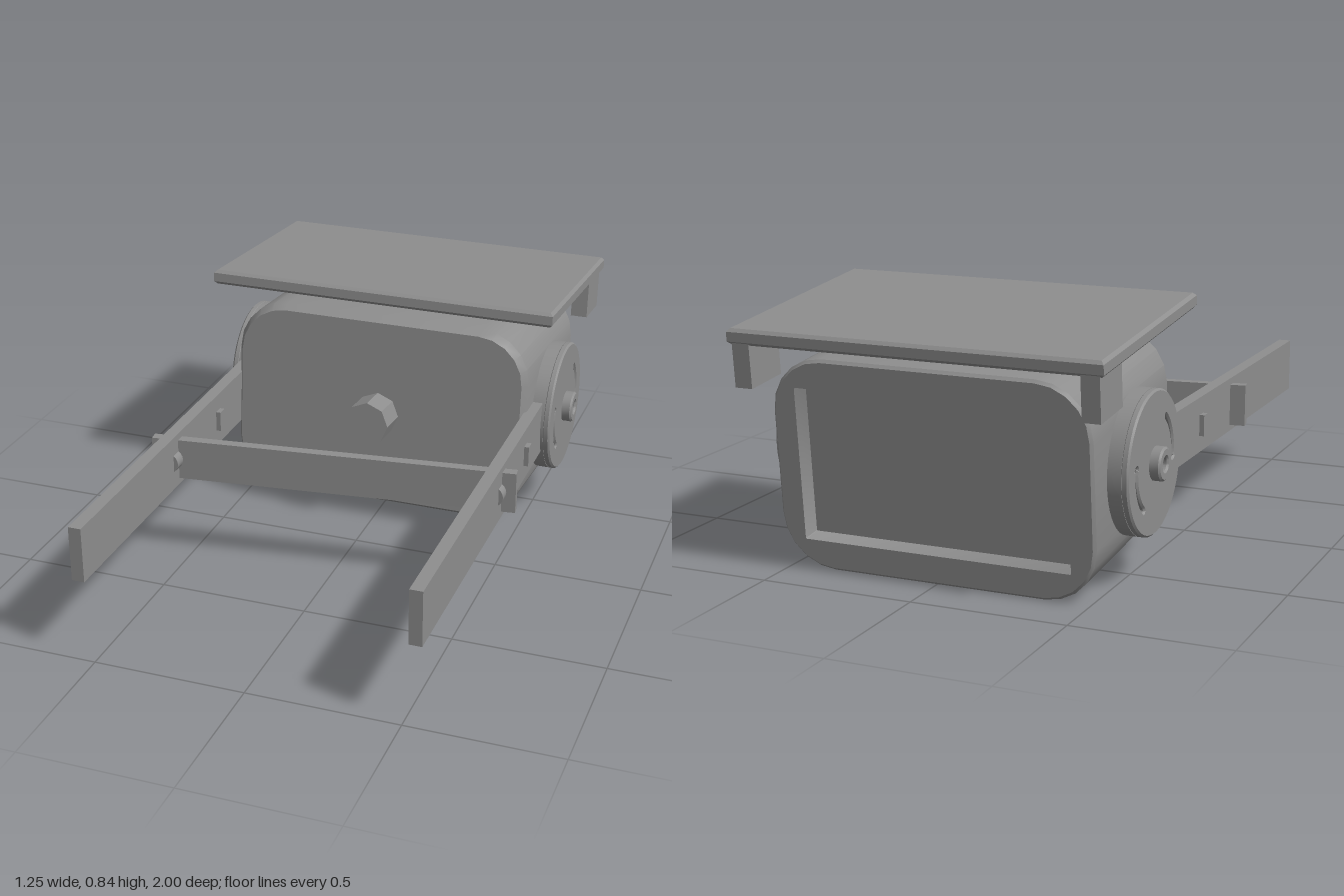
import * as THREE from 'three';
import { toCreasedNormals } from 'three/addons/utils/BufferGeometryUtils.js';

const SEG = 5; // segments per rounded corner

// Rounded rectangle outline, counter-clockwise seen from +z
function ring(w, h, r, z) {
  const pts = [];
  [[1, 1], [-1, 1], [-1, -1], [1, -1]].forEach(([sx, sy], q) => {
    for (let i = 0; i <= SEG; i++) {
      const a = (q + i / SEG) * Math.PI / 2;
      pts.push([sx * (w - r) + r * Math.cos(a), sy * (h - r) + r * Math.sin(a), z]);
    }
  });
  return pts;
}

// Skin between successive rings, front to back
function loft(rings) {
  const pos = [];
  for (let i = 0; i + 1 < rings.length; i++) {
    const a = rings[i], b = rings[i + 1], n = a.length;
    for (let k = 0; k < n; k++) {
      const m = (k + 1) % n;
      pos.push(...a[k], ...b[k], ...a[m], ...a[m], ...b[k], ...b[m]);
    }
  }
  const g = new THREE.BufferGeometry();
  g.setAttribute('position', new THREE.Float32BufferAttribute(pos, 3));
  return toCreasedNormals(g, 0.6);
}

// Curved slot with a round bulb at its lower end
function slot(turn) {
  const R = 0.155, w = 0.012, a0 = -0.15 + turn, a1 = 0.85 + turn;
  const p = new THREE.Path();
  p.absarc(0, 0, R + w, a0, a1, false);
  p.absarc(R * Math.cos(a1), R * Math.sin(a1), w, a1, a1 + Math.PI, false);
  p.absarc(0, 0, R - w, a1, a0, true);
  p.absarc(R * Math.cos(a0), R * Math.sin(a0), 0.019, a0 + Math.PI, a0 + 2 * Math.PI, false);
  return p;
}

export function createModel() {
  const model = new THREE.Group();
  const grey = new THREE.MeshStandardMaterial({ color: 0x8e8e8e });
  grey.name = 'grey';

  function add(parent, name, geo, x = 0, y = 0, z = 0) {
    const m = new THREE.Mesh(geo, grey);
    m.name = name;
    m.position.set(x, y, z);
    parent.add(m);
    return m;
  }
  const box = (w, h, d) => new THREE.BoxGeometry(w, h, d);

  // Tilted head: everything that turns on the side pivots
  const head = new THREE.Group();
  head.name = 'tiltingHead';
  head.position.set(0, 0.375, -0.54);
  head.rotation.x = -0.092;
  model.add(head);

  // Housing with bevelled front and a rectangular recess in the back
  add(head, 'housing', loft([
    ring(0, 0, 0, 0.325),
    ring(0.508, 0.322, 0.16, 0.325),
    ring(0.525, 0.34, 0.175, 0.295),
    ring(0.525, 0.34, 0.175, -0.315),
    ring(0.516, 0.331, 0.166, -0.325),
    ring(0.445, 0.245, 0.004, -0.325),
    ring(0.44, 0.24, 0.004, -0.265),
    ring(0, 0, 0, -0.265),
  ]), 0, -0.005, 0);

  // Eight-sided knob on the front
  const knob = new THREE.CylinderGeometry(0.077, 0.077, 0.13, 8).toNonIndexed();
  knob.rotateX(Math.PI / 2);
  knob.computeVertexNormals();
  add(head, 'frontKnob', knob, 0, -0.012, 0.375);

  // Cover plate with small bevels
  const b = 0.01, hw = 0.605 - b, hd = 0.3885 - b;
  const plate = new THREE.Shape([
    new THREE.Vector2(-hw, -hd), new THREE.Vector2(hw, -hd),
    new THREE.Vector2(hw, hd), new THREE.Vector2(-hw, hd),
  ]);
  const plateGeo = new THREE.ExtrudeGeometry(plate, {
    depth: 0.03, bevelThickness: b, bevelSize: b, bevelSegments: 1,
  });
  plateGeo.rotateX(-Math.PI / 2);
  add(head, 'coverPlate', plateGeo, 0, 0.399, -0.0315);

  // Slotted disc
  const disc = new THREE.Shape();
  disc.absarc(0, 0, 0.219, 0, Math.PI * 2, false);
  disc.holes.push(slot(0), slot(Math.PI));
  const discGeo = toCreasedNormals(new THREE.ExtrudeGeometry(disc, {
    depth: 0.014, bevelThickness: 0.006, bevelSize: 0.006, bevelSegments: 1, curveSegments: 24,
  }), 0.5);

  // Hub with a bore
  const hub = new THREE.Shape();
  hub.absarc(0, 0, 0.047, 0, Math.PI * 2, false);
  const bore = new THREE.Path();
  bore.absarc(0, 0, 0.028, 0, Math.PI * 2, true);
  hub.holes.push(bore);
  const hubGeo = toCreasedNormals(new THREE.ExtrudeGeometry(hub, {
    depth: 0.03, bevelThickness: 0.006, bevelSize: 0.006, bevelSegments: 1, curveSegments: 12,
  }), 0.5);

  const backGeo = new THREE.CylinderGeometry(0.225, 0.225, 0.045, 48);
  backGeo.rotateX(Math.PI / 2);

  for (const s of [1, -1]) {
    const side = s > 0 ? 'left' : 'right';

    // Pivot assembly, facing outward
    const pivot = new THREE.Group();
    pivot.name = side + 'Pivot';
    pivot.rotation.y = s * Math.PI / 2;
    head.add(pivot);
    add(pivot, 'pivotBacking', backGeo, 0, 0, 0.5465);
    add(pivot, 'slottedDisc', discGeo, 0, 0, 0.571);
    add(pivot, 'pivotHub', hubGeo, 0, 0, 0.589);

    // Bracket under the cover plate
    add(head, side + 'CoverBracket', box(0.058, 0.14, 0.165), s * 0.562, 0.325, -0.333);

    // Long carrying arm with its cross peg
    add(model, side + 'Arm', box(0.042, 0.183, 1.5), s * 0.538, 0.376, 0.25);
    add(model, side + 'Peg', box(0.074, 0.07, 0.035), s * 0.538, 0.375, s > 0 ? -0.118 : -0.022);

    // Bolt head in front of the strut
    const bolt = new THREE.CylinderGeometry(0.036, 0.036, 0.05, 20);
    bolt.rotateX(Math.PI / 2);
    add(model, side + 'Bolt', bolt, s * 0.538, 0.375, s > 0 ? 0.187 : 0.321);
  }

  // Slanted strut joining the arms
  const strut = add(model, 'crossStrut', box(1.22, 0.14, 0.033), -0.003, 0.375, 0.227);
  strut.rotation.y = Math.atan2(0.15, 1.21);

  return model;
}
